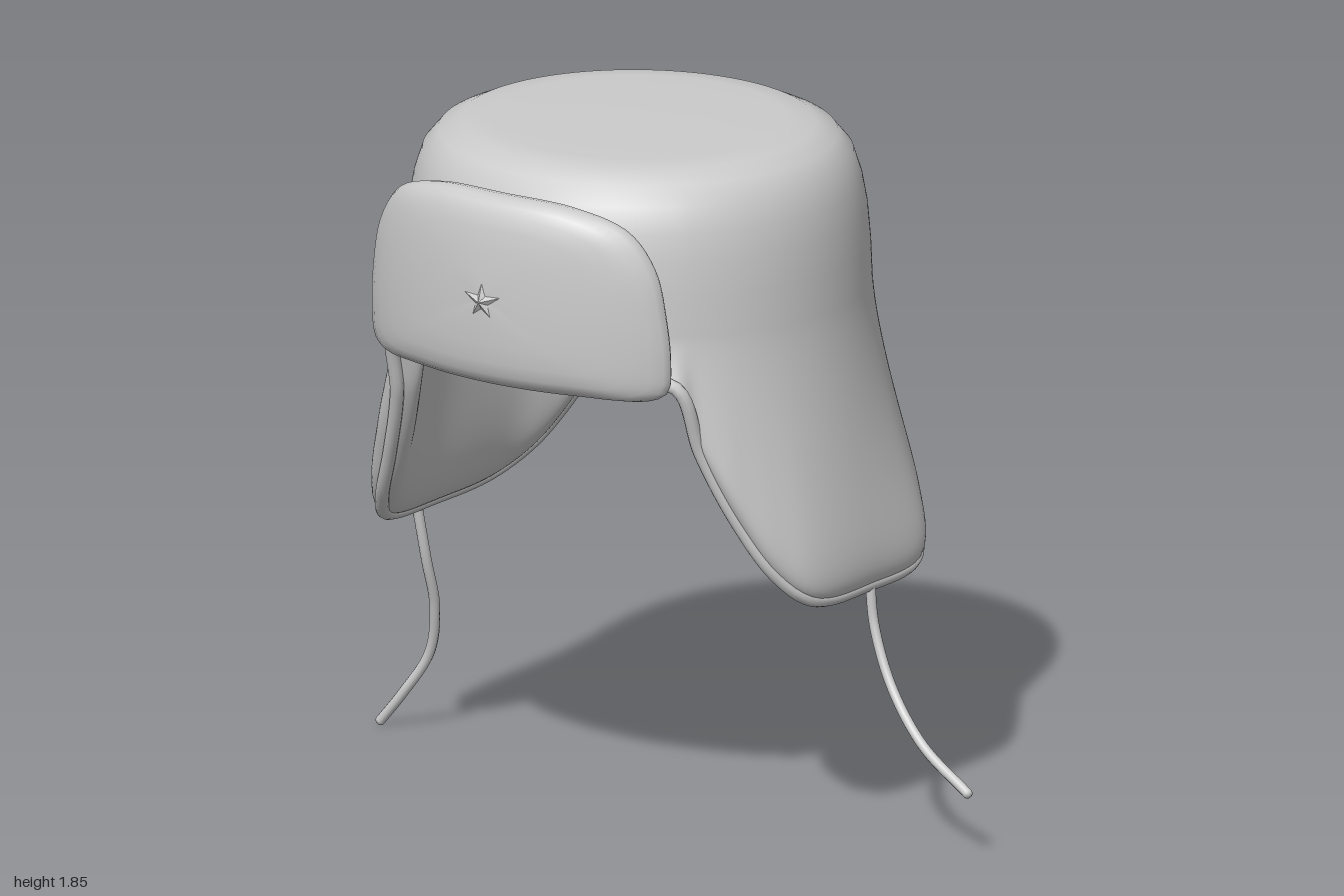
import * as THREE from 'three';

const CX = -0.1, CZ = -0.06; // centre of the cap in plan
const V = (x, y, z) => new THREE.Vector3(x, y, z);
const { smoothstep } = THREE.MathUtils;
const material = new THREE.MeshStandardMaterial({ color: 0xcccccc, side: THREE.DoubleSide });

function add(group, name, geometry, mat = material) {
  const mesh = new THREE.Mesh(geometry, mat);
  mesh.name = name;
  group.add(mesh);
  return mesh;
}

// Skin a list of closed rings that all have the same number of points
function loft(rows) {
  const n = rows[0].length, index = [];
  for (let i = 0; i < rows.length - 1; i++) {
    for (let j = 0; j < n; j++) {
      const a = i * n + j, d = i * n + (j + 1) % n, b = a + n, c = d + n;
      index.push(a, b, c, a, c, d);
    }
  }
  const g = new THREE.BufferGeometry().setFromPoints(rows.flat());
  g.setIndex(index);
  g.computeVertexNormals();
  return g;
}

// Closed smooth curve from the points of one half, mirrored across the middle
function mirroredLoop(half) {
  const other = half.slice(1, -1).reverse().map(p => V(-p.x, p.y, p.z));
  return new THREE.CatmullRomCurve3([...half, ...other], true);
}

// Lower edge of the cap: front, round an ear flap, to the back
function hemCurve() {
  const half = [
    [0, 1.285, 0.485], [0.3, 1.295, 0.455], [0.46, 1.29, 0.408], [0.495, 1.1, 0.345],
    [0.565, 0.91, 0.28], [0.64, 0.76, 0.21], [0.692, 0.68, 0.12], [0.703, 0.664, -0.12],
    [0.688, 0.68, -0.36], [0.615, 0.76, -0.445], [0.5, 0.93, -0.5],
    [0.395, 1.11, -0.54], [0.33, 1.178, -0.56], [0.18, 1.17, -0.6], [0, 1.165, -0.615],
  ].map(p => V(...p));
  const loop = mirroredLoop(half);
  return new THREE.CatmullRomCurve3(loop.points.map(p => V(p.x + CX, p.y, p.z)), true);
}

// Crown and padded ear flaps as one shell, outside then lining
function shellGeometry(hem) {
  const edge = hem.getSpacedPoints(180).slice(0, -1);
  const crown = [[0, 1.85], [0.2, 1.85], [0.4, 1.849], [0.475, 1.842], [0.535, 1.815],
    [0.577, 1.765], [0.6, 1.695], [0.614, 1.62], [0.623, 1.52]];
  const around = (r, y) => edge.map(e => {
    const a = Math.atan2((e.x - CX) / 0.62, (e.z - CZ) / 0.6);
    return V(CX + r * Math.sin(a), y, CZ + r * 0.97 * Math.cos(a));
  });
  const top = around(0.627, 1.42);
  const pad = t => Math.sqrt(1 - t ** 12);
  // swell and sag are the offsets outward and down at fraction t of the way to edge point e
  const wall = (t, swell, sag) => edge.map((e, j) => {
    const c = top[j], drop = (1.42 - e.y) * 0.42, grow = 1 + 0.08 * drop;
    const k = V(CX + (c.x - CX) * grow, 1.42 - drop, CZ + (c.z - CZ) * grow);
    const p = new THREE.QuadraticBezierCurve3(c, k, e).getPoint(t);
    const s = 1 + swell(t, e) / Math.hypot(p.x - CX, p.z - CZ);
    return V(CX + (p.x - CX) * s, p.y - sag(t, e), CZ + (p.z - CZ) * s);
  });
  const outside = (t, e) => 0.055 * smoothstep(1.35 - e.y, 0, 0.45) * t ** 1.5 * pad(t);
  const lining = t => (0.02 * t - 0.08) * pad(t);
  const liningSag = (t, e) => (0.018 + 0.065 * smoothstep(e.z, 0.39, 0.49)) * t * t * pad(t);
  const steps = 28;
  const down = Array.from({ length: steps + 1 }, (_, i) => 1 - (1 - i / steps) ** 2);
  return loft([
    ...crown.map(([r, y]) => around(r, y)),
    ...down.map(t => wall(t, outside, () => 0)),
    ...down.slice(0, -1).reverse().map(t => wall(t, lining, liningSag)),
    ...crown.reverse().map(([r, y]) => around(r * 0.87, y - 0.08)),
  ]);
}

// Turned-up front flap: rounded pad bent round the crown
function frontFlapGeometry() {
  const half = [[0, 1.268], [0.25, 1.268], [0.43, 1.27], [0.475, 1.295], [0.485, 1.37], [0.475, 1.5],
    [0.445, 1.63], [0.37, 1.73], [0.22, 1.78], [0, 1.79]].map(([x, y]) => V(x, y, 0));
  const outline = mirroredLoop(half).getSpacedPoints(100).slice(0, -1);
  const section = [[0, 1], [0.25, 1], [0.5, 0.99], [0.7, 0.97], [0.84, 0.92], [0.93, 0.82], [0.98, 0.67],
    [1, 0.48], [0.985, 0.27], [0.95, 0.1], [0.88, 0], [0.6, 0], [0.3, 0], [0, 0]];
  return loft(section.map(([s, t]) => outline.map(p => {
    const x = p.x * s, y = 1.52 + (p.y - 1.52) * s;
    const bend = 0.1 * (x / 0.485) ** 2;
    const lean = 0.02 * ((y - 1.48) / 0.3) ** 2;
    return V(CX + x, y, 0.535 - bend - lean + t * (0.118 - 0.045 * (x / 0.485) ** 2));
  })));
}

// Faceted five-pointed badge made from a ten-sided cone
function starGeometry() {
  const g = new THREE.ConeGeometry(0.075, 0.022, 10, 1).toNonIndexed();
  const p = g.attributes.position;
  for (let i = 0; i < p.count; i++) {
    const step = Math.round(Math.atan2(p.getX(i), p.getZ(i)) / (Math.PI / 5));
    if (step % 2 === 0) {
      p.setX(i, p.getX(i) * 0.42);
      p.setZ(i, p.getZ(i) * 0.42);
    }
  }
  g.rotateX(Math.PI / 2);
  g.computeVertexNormals();
  return g;
}

// Tie cord with a rounded tip
function addCord(group, name, points) {
  const path = new THREE.CatmullRomCurve3(points.map(p => V(...p)));
  add(group, name, new THREE.TubeGeometry(path, 40, 0.014, 10));
  add(group, name + 'Tip', new THREE.SphereGeometry(0.014, 10, 8)).position.set(...points.at(-1));
}

export function createModel() {
  const group = new THREE.Group();
  group.name = 'earFlapHat';
  const hem = hemCurve();

  add(group, 'crownAndEarFlaps', shellGeometry(hem));
  add(group, 'hemPiping', new THREE.TubeGeometry(hem, 240, 0.019, 10, true));
  add(group, 'frontFlap', frontFlapGeometry());

  const flat = material.clone();
  flat.flatShading = true;
  add(group, 'star', starGeometry(), flat).position.set(CX, 1.51, 0.655);

  addCord(group, 'rightCord', [[-0.815, 0.68, -0.045], [-0.805, 0.5, -0.08], [-0.81, 0.36, -0.125],
    [-0.845, 0.22, -0.15], [-0.92, 0.1, -0.135], [-0.988, 0.014, -0.128]]);
  addCord(group, 'leftCord', [[0.605, 0.68, -0.13], [0.62, 0.55, -0.13], [0.69, 0.4, -0.11],
    [0.82, 0.27, -0.07], [0.987, 0.174, -0.04]]);
  return group;
}
